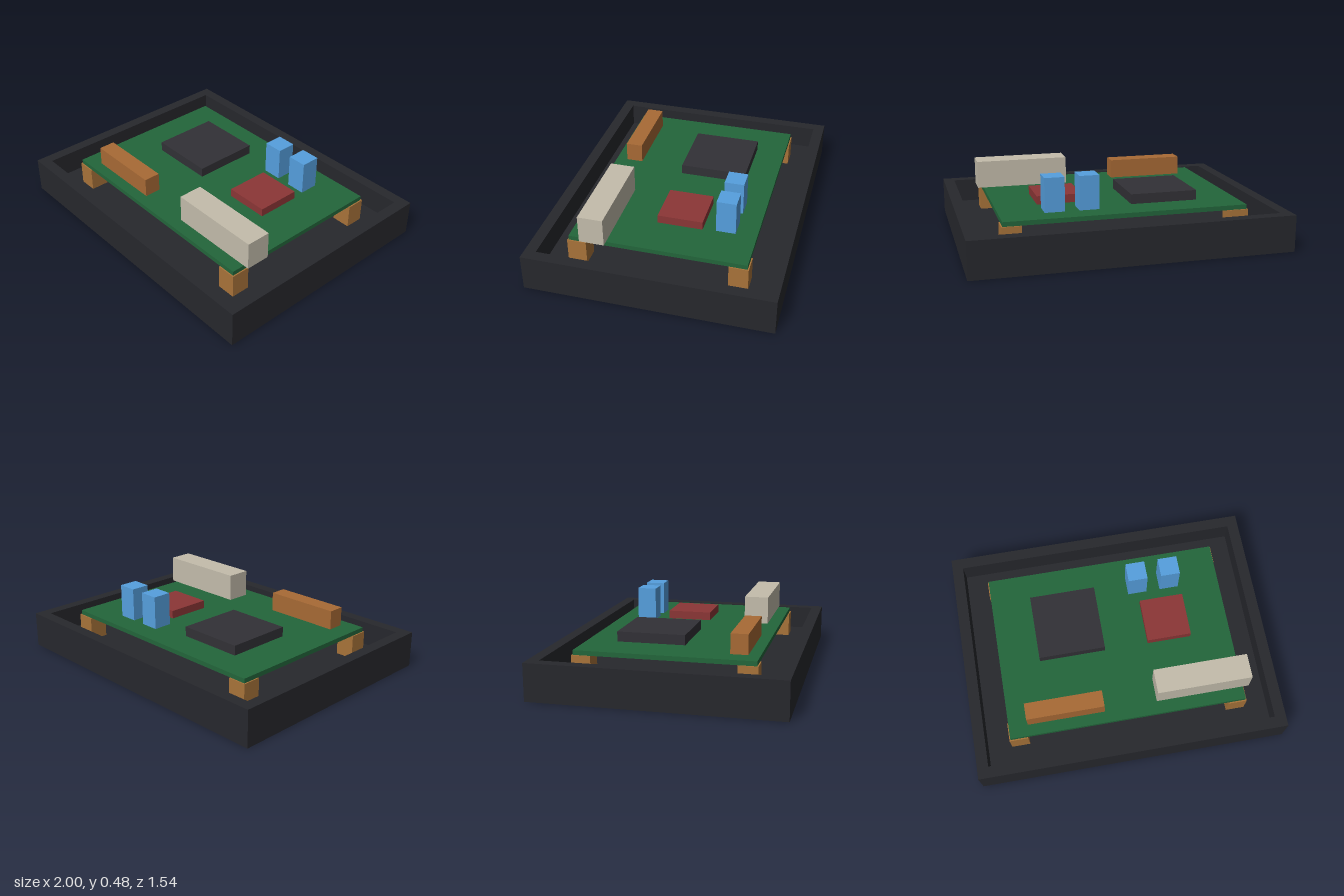
import * as THREE from 'three';

const FLOOR = 0.08, RIM = 0.233, BOARD_TOP = 0.262;

export function createModel() {
  const model = new THREE.Group();
  const materials = {};
  const paint = (color) => (materials[color] ??= new THREE.MeshStandardMaterial({ color }));

  // Box given by its limits on each axis
  function block(name, color, [x0, x1], [y0, y1], [z0, z1]) {
    const mesh = new THREE.Mesh(new THREE.BoxGeometry(x1 - x0, y1 - y0, z1 - z0), paint(color));
    mesh.position.set((x0 + x1) / 2, (y0 + y1) / 2, (z0 + z1) / 2);
    mesh.name = name;
    model.add(mesh);
  }

  // Open tray: rectangular wall frame around a floor slab
  const corners = (x, z) => [[-x, -z], [x, -z], [x, z], [-x, z]].map((p) => new THREE.Vector2(...p));
  const frame = new THREE.Shape(corners(1, 0.768));
  frame.holes.push(new THREE.Path(corners(0.928, 0.696)));
  const frameGeometry = new THREE.ExtrudeGeometry(frame, { depth: RIM, bevelEnabled: false });
  frameGeometry.rotateX(-Math.PI / 2);
  const walls = new THREE.Mesh(frameGeometry, paint(0x27282d));
  walls.name = 'trayWalls';
  model.add(walls);
  block('trayFloor', 0x27282d, [-0.928, 0.928], [0, FLOOR], [-0.696, 0.696]);

  // Corner standoffs carrying the board
  for (const sx of [-1, 1]) {
    for (const sz of [-1, 1]) {
      const x = sx * 0.714, z = sz * 0.5;
      block('standoff', 0xa9743a, [x - 0.06, x + 0.06], [FLOOR, RIM], [z - 0.06, z + 0.06]);
    }
  }

  // Circuit board
  block('circuitBoard', 0x23663b, [-0.766, 0.766], [RIM, BOARD_TOP], [-0.552, 0.552]);

  // Components on the board: name, color, x limits, top height, z limits
  const components = [
    ['mainChip', 0x323136, [-0.503, -0.072], 0.325, [-0.36, 0.07]],
    ['smallChip', 0x8c3636, [0.213, 0.5], 0.315, [-0.216, 0.07]],
    ['capacitor', 0x56a0df, [0.15, 0.275], 0.477, [-0.42, -0.297]],
    ['capacitor', 0x56a0df, [0.365, 0.49], 0.477, [-0.42, -0.297]],
    ['edgeConnector', 0xc4bdac, [0.197, 0.802], 0.44, [0.313, 0.47]],
    ['pinHeader', 0xa86a35, [-0.642, -0.144], 0.386, [0.373, 0.48]],
  ];
  for (const [name, color, x, top, z] of components) block(name, color, x, [BOARD_TOP, top], z);

  return model;
}
